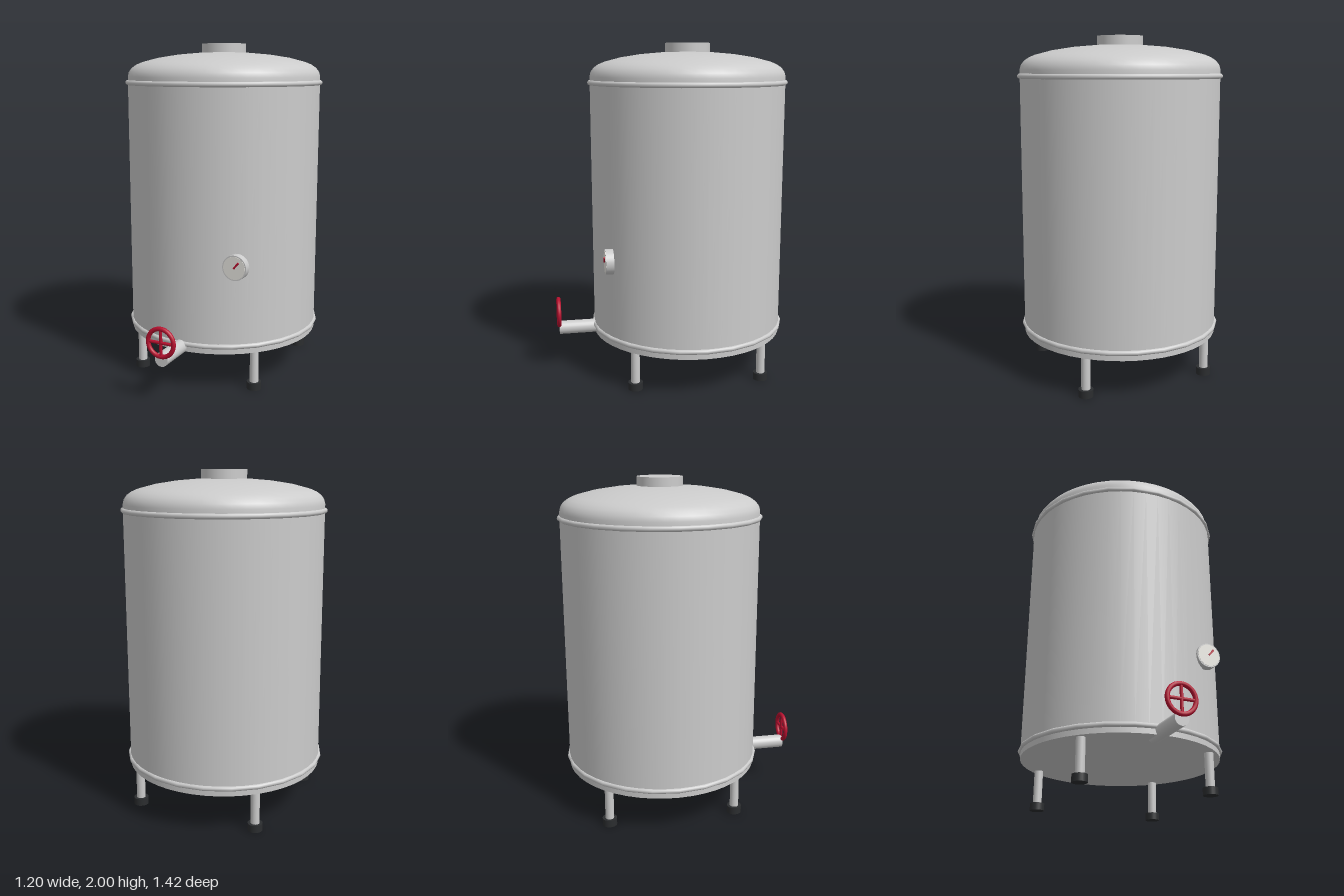
import * as THREE from 'three';

const paint = (color) => new THREE.MeshStandardMaterial({ color });
const steel = paint(0xcccccc), rubber = paint(0x2b2d2f), red = paint(0xb8102f), white = paint(0xe8e6e0);
const TANK_Z = -0.11, TANK_R = 0.585;

export function createModel() {
  const model = new THREE.Group();

  const add = (name, geometry, material, x, y, z, parent = model) => {
    const mesh = new THREE.Mesh(geometry, material);
    mesh.name = name;
    mesh.position.set(x, y, z);
    parent.add(mesh);
    return mesh;
  };
  const cylinder = (r, h, n = 24) => new THREE.CylinderGeometry(r, r, h, n);

  // Tank body
  add('tankBody', cylinder(TANK_R, 1.54, 48), steel, 0, 1.01, TANK_Z);

  // Dished lid with a rounded shoulder
  const dome = [
    [TANK_R, 1.77], [TANK_R, 1.805], [0.578, 1.832], [0.56, 1.856], [0.533, 1.875], [0.495, 1.891],
    [0.4, 1.916], [0.28, 1.935], [0.14, 1.947], [0, 1.951],
  ].map(([r, y]) => new THREE.Vector2(r, y));
  add('domeLid', new THREE.LatheGeometry(dome, 48), steel, 0, 0, TANK_Z);
  add('topCap', cylinder(0.134, 0.07, 32), steel, 0, 1.965, TANK_Z);

  // Rolled bands at both seams
  for (const [name, y] of [['lowerBand', 0.285], ['upperBand', 1.77]]) {
    const band = new THREE.TorusGeometry(TANK_R, 0.015, 10, 24).rotateX(Math.PI / 2);
    add(name, band, steel, 0, y, TANK_Z);
  }

  // Four legs with rubber feet
  for (const sx of [-1, 1]) {
    for (const sz of [-1, 1]) {
      const leg = new THREE.Group();
      leg.name = (sz > 0 ? 'front' : 'back') + (sx > 0 ? 'Left' : 'Right') + 'Leg';
      leg.position.set(sx * 0.382, 0, TANK_Z + sz * 0.382);
      add('post', cylinder(0.026, 0.22), steel, 0, 0.14, 0, leg);
      add('foot', cylinder(0.043, 0.043), rubber, 0, 0.0215, 0, leg);
      model.add(leg);
    }
  }

  // Outlet pipe
  add('outletPipe', cylinder(0.041, 0.33).rotateX(Math.PI / 2), steel, 0, 0.266, 0.53);

  // Valve handwheel
  const wheel = new THREE.Group();
  wheel.name = 'valveWheel';
  wheel.position.set(0, 0.367, 0.697);
  add('rim', new THREE.TorusGeometry(0.081, 0.013, 12, 32), red, 0, 0, 0, wheel);
  add('verticalSpoke', cylinder(0.009, 0.162, 10), red, 0, 0, 0, wheel);
  add('horizontalSpoke', cylinder(0.009, 0.162, 10).rotateZ(Math.PI / 2), red, 0, 0, 0, wheel);
  model.add(wheel);

  // Pressure gauge
  const gauge = new THREE.Group();
  gauge.name = 'gauge';
  gauge.position.set(0.322, 0.766, 0.41);
  add('housing', cylinder(0.073, 0.046, 32).rotateX(Math.PI / 2), steel, 0, 0, 0, gauge);
  add('dial', cylinder(0.066, 0.004, 32).rotateX(Math.PI / 2), white, 0, 0, 0.023, gauge);
  const needle = add('needle', new THREE.BoxGeometry(0.01, 0.044, 0.012), red, 0.014, 0.017, 0.027, gauge);
  needle.rotation.z = -0.7;
  model.add(gauge);

  return model;
}
